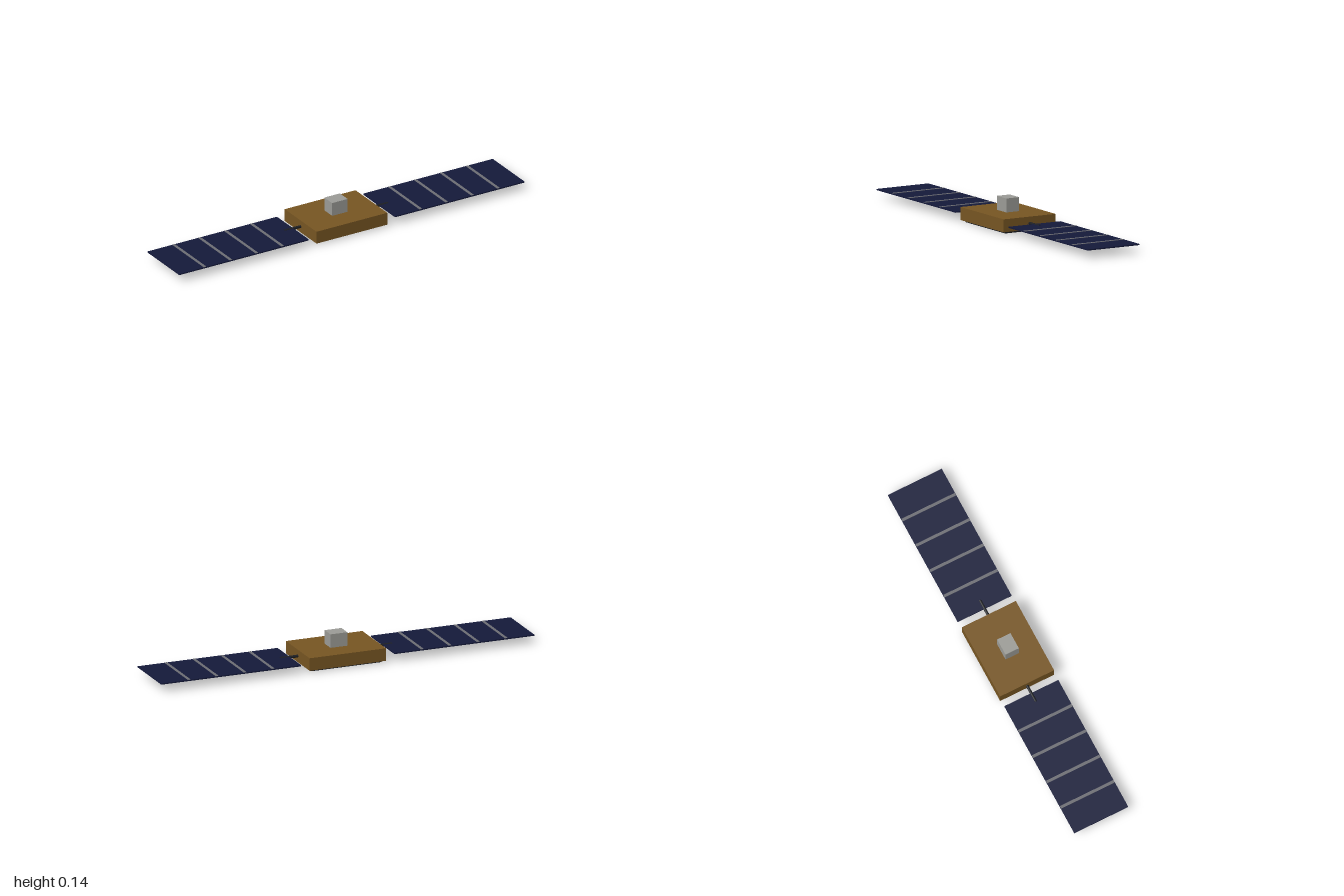
import * as THREE from 'three';

const mat = (color) => new THREE.MeshStandardMaterial({ color });

export function createModel() {
  const model = new THREE.Group();
  model.name = 'satellite';
  const gold = mat(0x765522), navy = mat(0x14193a), dark = mat(0x1c1e22);
  const silver = mat(0x9b9b96), line = mat(0x6c6d73);

  const box = (name, parent, material, size, pos) => {
    const mesh = new THREE.Mesh(new THREE.BoxGeometry(...size), material);
    mesh.name = name;
    mesh.position.set(...pos);
    parent.add(mesh);
    return mesh;
  };

  // Central bus with the instrument on top and the plate underneath
  box('body', model, gold, [0.41, 0.065, 0.3], [0, 0.0425, 0]);
  box('instrumentBox', model, silver, [0.09, 0.07, 0.074], [0, 0.11, 0]);
  box('basePlate', model, dark, [0.375, 0.008, 0.262], [0, 0.004, 0]);

  // Solar wings, one on each side
  const axisY = 0.042;
  for (const side of [1, -1]) {
    const wing = new THREE.Group();
    wing.name = side > 0 ? 'leftWing' : 'rightWing';
    model.add(wing);

    box('solarPanel', wing, navy, [0.75, 0.006, 0.3], [side * 0.625, axisY, 0]);

    // Raised divider strips
    for (let i = 0; i < 4; i++) {
      box('panelDivider', wing, line, [0.015, 0.003, 0.298], [side * (0.4 + i * 0.15), axisY + 0.003, 0]);
    }

    // Boom joining the wing to the body
    const boom = new THREE.Mesh(new THREE.CylinderGeometry(0.007, 0.007, 0.1, 12), dark);
    boom.name = 'boom';
    boom.rotation.z = Math.PI / 2;
    boom.position.set(side * 0.25, axisY, 0);
    wing.add(boom);
  }
  return model;
}
